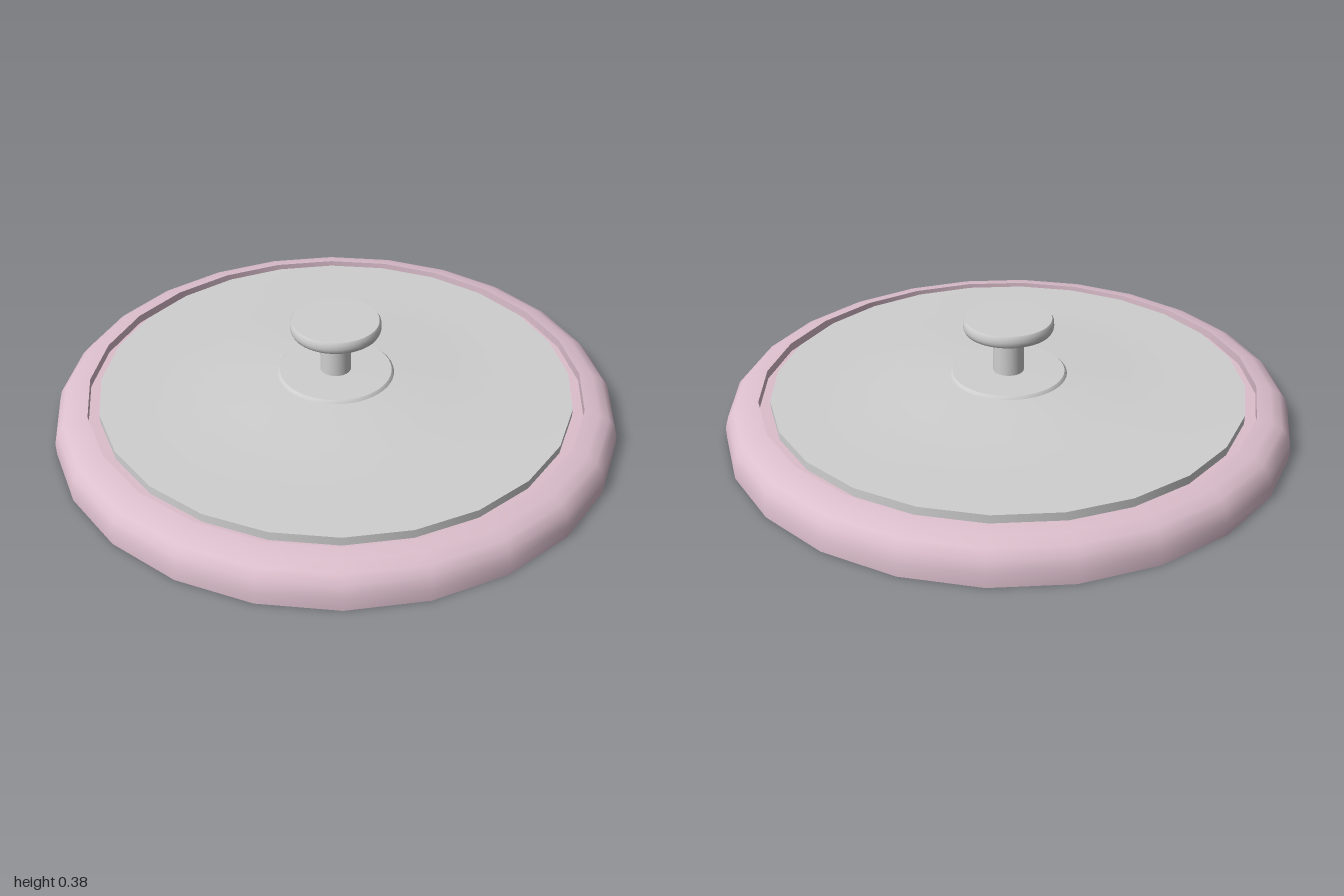
import * as THREE from 'three';

// Revolves several profile runs; each run is smooth, with sharp edges between runs.
function turned(name, runs, material, sides) {
  const group = new THREE.Group();
  group.name = name;
  runs.forEach((run, i) => {
    const points = run.map(([r, y]) => new THREE.Vector2(r, y));
    const mesh = new THREE.Mesh(new THREE.LatheGeometry(points, sides), material);
    mesh.name = `${name}Surface${i + 1}`;
    group.add(mesh);
  });
  return group;
}

export function createModel() {
  const pink = new THREE.MeshStandardMaterial({ color: 0xdcbfcc });
  pink.name = 'rimPink';
  const grey = new THREE.MeshStandardMaterial({ color: 0xcfcfcf });
  grey.name = 'lidGrey';
  const thinGrey = new THREE.MeshStandardMaterial({ color: 0xcfcfcf, side: THREE.DoubleSide });
  thinGrey.name = 'lidGrey';

  const model = new THREE.Group();
  model.name = 'lid';

  // Rounded rim with an inner ledge that carries the panel
  model.add(turned('rim', [
    [[0.88, 0], [1, 0]],
    [[1, 0], [1, 0.045], [0.988, 0.085], [0.965, 0.11], [0.93, 0.128], [0.88, 0.135]],
    [[0.88, 0.135], [0.88, 0.104]],
    [[0.88, 0.104], [0.84, 0.104]],
    [[0.84, 0.104], [0.84, 0.076]],
    [[0.84, 0.076], [0.88, 0.076]],
    [[0.88, 0.076], [0.88, 0]],
  ], pink, 24));

  // Thin, gently domed panel with a short skirt
  model.add(turned('panel', [
    [[0.84, 0.104], [0.84, 0.135]],
    [[0.84, 0.135], [0.62, 0.137], [0.42, 0.143], [0.21, 0.163], [0, 0.168]],
  ], thinGrey, 24));

  // Round plate under the handle
  model.add(turned('handlePlate', [
    [[0, 0.149], [0.215, 0.149]],
    [[0.215, 0.149], [0.208, 0.165], [0.2, 0.173]],
    [[0.2, 0.173], [0, 0.175]],
  ], grey, 48));

  // Handle stem
  model.add(turned('handleStem', [[[0.055, 0.172], [0.055, 0.335]]], grey, 32));

  // Flat knob with rounded edges
  model.add(turned('knob', [
    [[0, 0.328], [0.145, 0.328]],
    [[0.145, 0.328], [0.154, 0.332], [0.159, 0.342], [0.16, 0.352], [0.159, 0.366], [0.153, 0.375]],
    [[0.153, 0.375], [0, 0.375]],
  ], grey, 48));

  return model;
}
